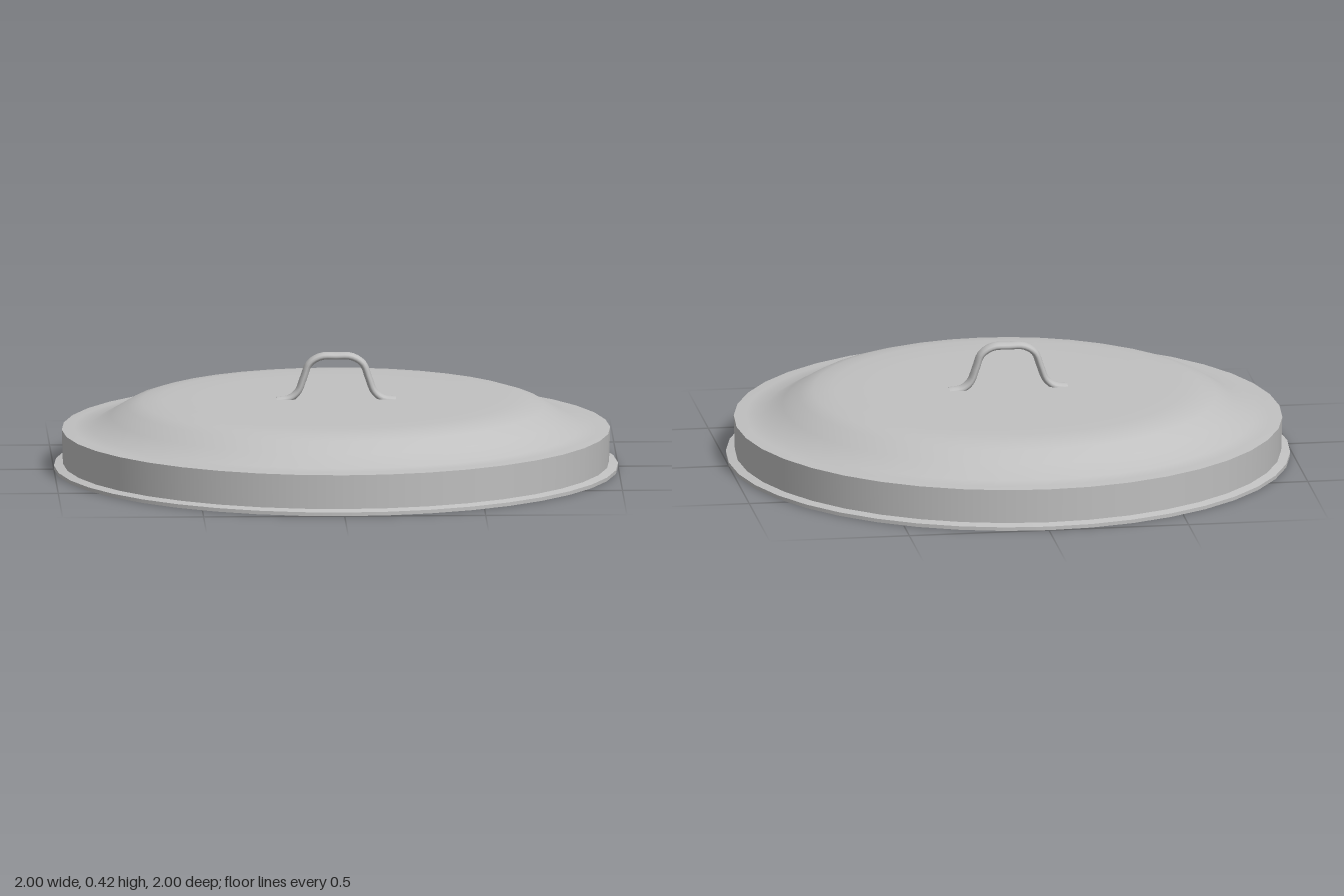
import * as THREE from 'three';

const SEGMENTS = 40;

// Revolves a list of [radius, height] pairs; runs bottom-to-top for outward faces
function revolve(name, profile, material) {
  const points = profile.map(([r, y]) => new THREE.Vector2(r, y));
  const mesh = new THREE.Mesh(new THREE.LatheGeometry(points, SEGMENTS), material);
  mesh.name = name;
  return mesh;
}

export function createModel() {
  const group = new THREE.Group();
  group.name = 'lid';
  const metal = new THREE.MeshStandardMaterial({ color: 0xc0c0c0, side: THREE.DoubleSide });
  metal.name = 'grey metal';

  // Domed top: flat ledge, sloping shoulder, flat centre
  group.add(revolve('domedTop', [
    [0.972, 0.142], [0.93, 0.145], [0.87, 0.148], [0.8, 0.188], [0.74, 0.224],
    [0.69, 0.24], [0.62, 0.248], [0.5, 0.249], [0, 0.249],
  ], metal));

  // Upright skirt, outside and inside
  group.add(revolve('outerSkirt', [[0.968, 0.02], [0.972, 0.142]], metal));
  group.add(revolve('innerSkirt', [[0.96, 0.13], [0.96, 0]], metal));

  // Thin flange around the foot of the skirt
  group.add(revolve('flangeTop', [[1, 0.013], [0.968, 0.02]], metal));
  group.add(revolve('flangeEdge', [[1, 0], [1, 0.013]], metal));
  group.add(revolve('flangeBottom', [[0.96, 0], [1, 0]], metal));

  // Shallow underside
  group.add(revolve('underside', [[0, 0.16], [0.5, 0.151], [0.96, 0.13]], metal));

  // Arched handle with flared feet, oval in section
  const half = [[0.21, 0.243], [0.165, 0.25], [0.135, 0.275], [0.115, 0.325], [0.095, 0.375], [0.055, 0.4]];
  const path = [
    ...half.map(([x, y]) => new THREE.Vector3(-x, y, 0)),
    new THREE.Vector3(0, 0.402, 0),
    ...half.slice().reverse().map(([x, y]) => new THREE.Vector3(x, y, 0)),
  ];
  const tube = new THREE.TubeGeometry(new THREE.CatmullRomCurve3(path), 40, 0.013, 12);
  tube.scale(1, 1, 2.15);
  const handle = new THREE.Mesh(tube, metal);
  handle.name = 'handle';
  group.add(handle);

  return group;
}
